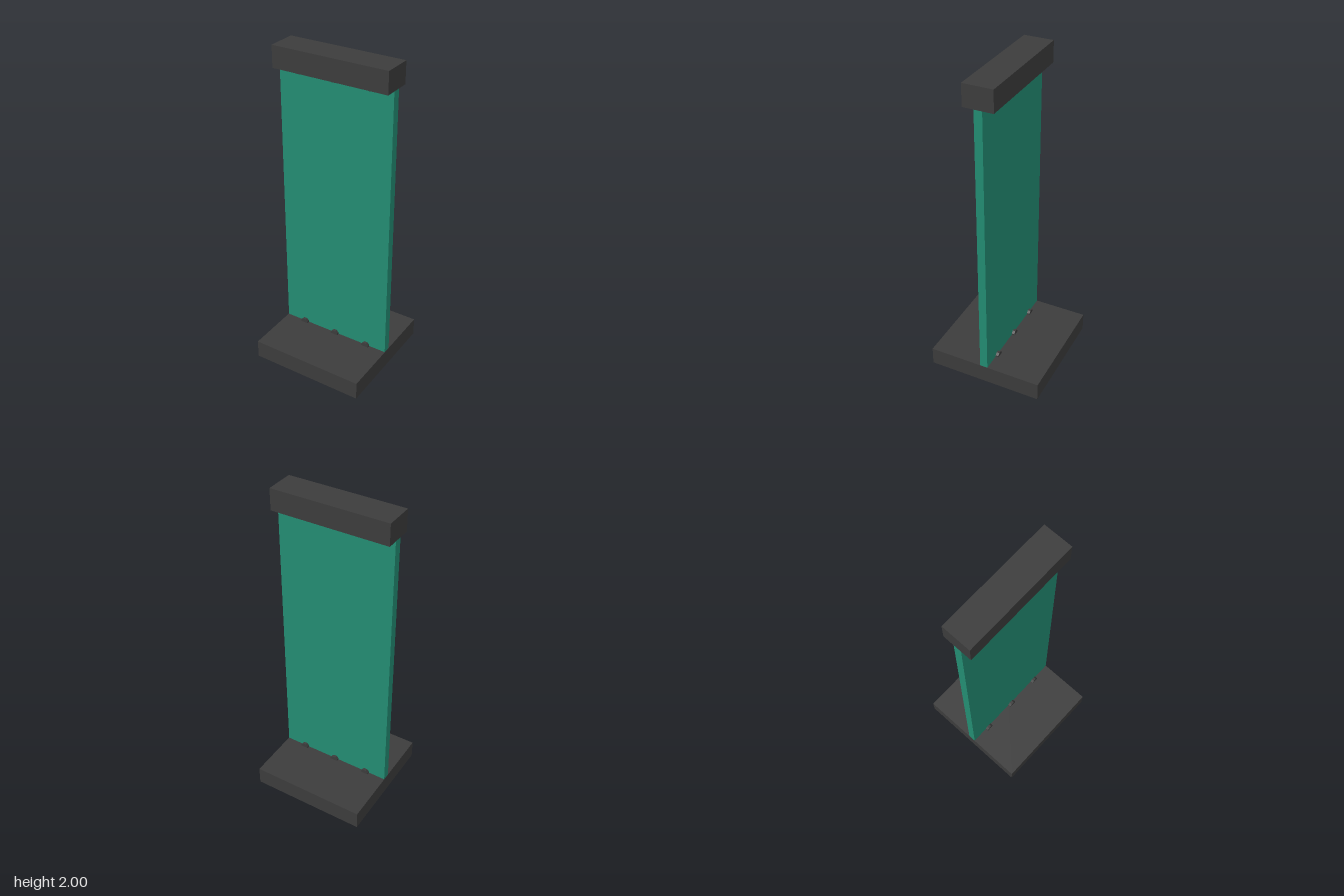
import * as THREE from 'three';

export function createModel() {
  const model = new THREE.Group();
  model.name = 'displayStand';

  const charcoal = new THREE.MeshStandardMaterial({ color: 0x3c3c3c });
  charcoal.name = 'charcoal';
  const green = new THREE.MeshStandardMaterial({ color: 0x238c72 });
  green.name = 'green';

  const WIDTH = 0.735;
  const BASE_TOP = 0.117;
  const CAP_BOTTOM = 1.867;

  // Box spanning y0 to y1, centred on x and z
  function slab(name, width, y0, y1, depth, material) {
    const mesh = new THREE.Mesh(new THREE.BoxGeometry(width, y1 - y0, depth), material);
    mesh.position.y = (y0 + y1) / 2;
    mesh.name = name;
    model.add(mesh);
  }

  slab('base', WIDTH, 0, BASE_TOP, WIDTH, charcoal);
  slab('panel', WIDTH - 0.002, BASE_TOP, CAP_BOTTOM, 0.05, green);
  slab('topCap', WIDTH, CAP_BOTTOM, 2, 0.184, charcoal);

  // Octagonal pins through the panel, half sunk into the base and the cap
  const pinShape = new THREE.CylinderGeometry(0.026, 0.026, 0.088, 8).toNonIndexed();
  pinShape.rotateY(Math.PI / 8);
  pinShape.rotateX(Math.PI / 2);
  pinShape.computeVertexNormals();
  for (const [name, y] of [['lowerPin', BASE_TOP], ['upperPin', CAP_BOTTOM]]) {
    for (const x of [-0.23, 0, 0.23]) {
      const pin = new THREE.Mesh(pinShape, charcoal);
      pin.position.set(x, y, 0);
      pin.name = name;
      model.add(pin);
    }
  }

  return model;
}
